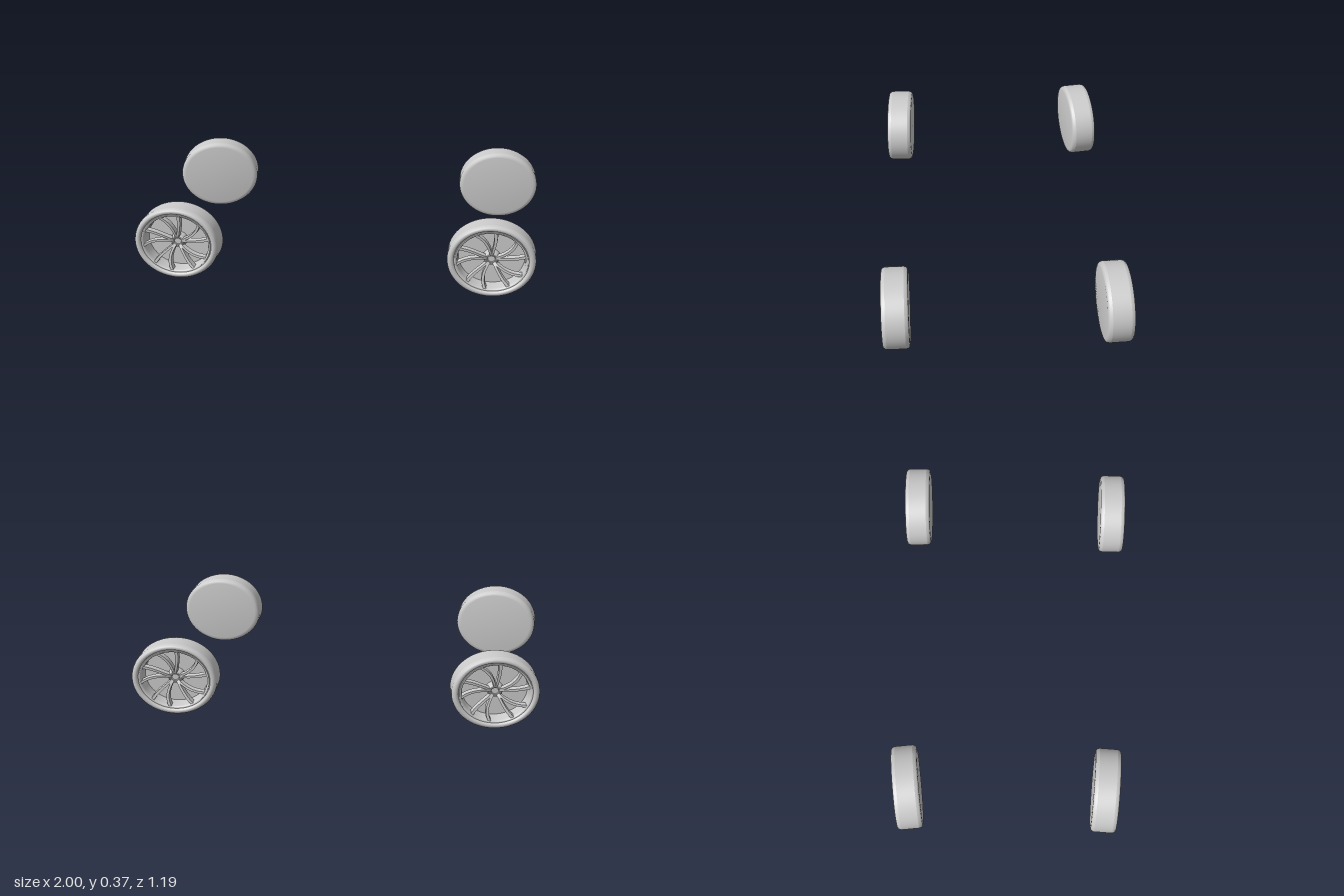
import * as THREE from 'three';
import { toCreasedNormals } from 'three/addons/utils/BufferGeometryUtils.js';

const material = new THREE.MeshStandardMaterial({ color: 0xcccccc });

// Lathe about the wheel axle (z), profile given as [radius, z]
function turned(profile, segments) {
  const points = profile.map(([r, z]) => new THREE.Vector2(r, z));
  const geometry = new THREE.LatheGeometry(points, segments).rotateX(Math.PI / 2);
  return toCreasedNormals(geometry, 0.6);
}

// One curved spoke: a box bent along the radius, dished towards the hub
function spokeGeometry(side) {
  const geometry = new THREE.BoxGeometry(1, 1, 1, 10, 1, 1);
  const pos = geometry.attributes.position;
  for (let i = 0; i < pos.count; i++) {
    const t = pos.getX(i) + 0.5;
    const r = 0.1 + 0.71 * t;
    const angle = side * (0.12 + 0.17 * t) + 0.2 * t * t;
    const width = 0.05 + 0.025 * t + (pos.getZ(i) < 0 ? 0.02 : 0);
    const across = pos.getY(i) * width;
    const z = 0.012 + 0.03 * Math.sqrt(t) + pos.getZ(i) * 0.03;
    pos.setXYZ(i,
      r * Math.cos(angle) - across * Math.sin(angle),
      r * Math.sin(angle) + across * Math.cos(angle), z);
  }
  return toCreasedNormals(geometry, 0.6);
}

// Shared parts, in units of wheel radius across and model units along the axle
const tyre = turned([
  [0, -0.065], [0.88, -0.065], [0.94, -0.063], [0.98, -0.057], [1, -0.045],
  [1, 0.045], [0.985, 0.056], [0.95, 0.063], [0.91, 0.065], [0.87, 0.063], [0.85, 0.058],
], 72);
const rim = turned([
  [0.85, 0.058], [0.845, 0.053], [0.83, 0.053], [0.825, 0.058], [0.79, 0.058],
  [0.775, 0.052], [0.765, 0.04], [0.75, -0.015], [0, -0.015],
], 72);
const hub = turned([
  [0.2, -0.015], [0.17, 0.02], [0.14, 0.027], [0.09, 0.027], [0.08, 0.02], [0, 0.02],
], 32);
const lugNut = turned([[0.022, 0.01], [0.022, 0.03], [0.016, 0.033], [0, 0.033]], 6);
const spokes = [spokeGeometry(-1), spokeGeometry(1)];

function createWheel(name) {
  const wheel = new THREE.Group();
  wheel.name = name;
  const add = (partName, geometry, angle = 0, radius = 0) => {
    const mesh = new THREE.Mesh(geometry, material);
    mesh.name = partName;
    mesh.rotation.z = angle;
    mesh.position.set(radius * Math.cos(angle), radius * Math.sin(angle), 0);
    wheel.add(mesh);
  };
  add('tyre', tyre);
  add('rim', rim);
  add('hub', hub);
  // Five twin spokes with a lug nut between each pair
  for (let i = 0; i < 5; i++) {
    const angle = Math.PI / 2 + (i * Math.PI * 2) / 5;
    spokes.forEach((spoke) => add('spoke', spoke, angle));
    add('lugNut', lugNut, angle + Math.PI / 5, 0.125);
  }
  // The wheels are slightly wider than tall
  wheel.scale.set(0.2125, 0.184, 1);
  return wheel;
}

export function createModel() {
  const model = new THREE.Group();
  model.name = 'wheelSet';
  // name, x, z, turn about the vertical (spokes face outward)
  const places = [
    ['frontLeftWheel', 0.773, 0.529, 0],
    ['frontRightWheel', -0.772, 0.504, -0.055],
    ['backLeftWheel', 0.786, -0.52, Math.PI + 0.04],
    ['backRightWheel', -0.783, -0.498, Math.PI + 0.125],
  ];
  for (const [name, x, z, turn] of places) {
    const wheel = createWheel(name);
    wheel.position.set(x, 0.184, z);
    wheel.rotation.y = turn;
    model.add(wheel);
  }
  return model;
}
